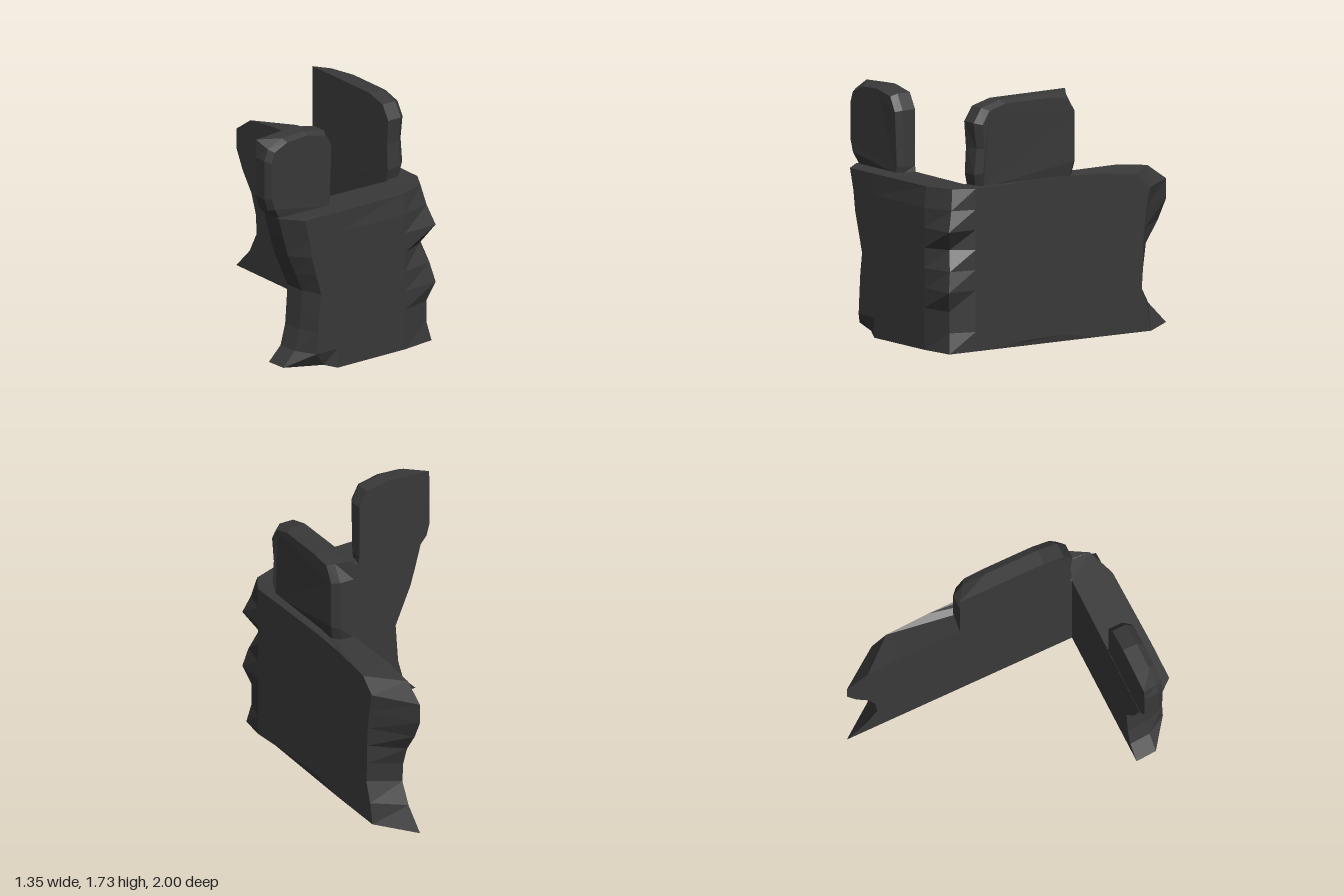
import * as THREE from 'three';

const stone = new THREE.MeshStandardMaterial({ color: 0x393939 });
stone.name = 'dark stone';
stone.flatShading = true;

// Skin matching rings of [x, y, z] points and cap both ends; flat is the
// pair of axes used to triangulate the caps.
function loft(name, rings, flat) {
  const tris = [];
  const n = rings[0].length;
  for (let r = 0; r + 1 < rings.length; r++) {
    for (let i = 0; i < n; i++) {
      const j = (i + 1) % n;
      const [a, b, c, d] = [rings[r][i], rings[r][j], rings[r + 1][j], rings[r + 1][i]];
      tris.push([a, b, c], [a, c, d]);
    }
  }
  const cap = (ring, sign) => {
    const outline = ring.map((p) => new THREE.Vector2(p[flat[0]], p[flat[1]]));
    const ccw = THREE.ShapeUtils.area(outline) > 0;
    for (const [a, b, c] of THREE.ShapeUtils.triangulateShape(outline, [])) {
      const u = outline[b].clone().sub(outline[a]);
      const v = outline[c].clone().sub(outline[a]);
      const same = (u.cross(v) > 0) === ccw;
      const t = [ring[a], ring[b], ring[c]];
      tris.push(same === (sign > 0) ? t : t.reverse());
    }
  };
  cap(rings[0], -1);
  cap(rings[rings.length - 1], 1);

  // Turn the skin inside out when its signed volume is negative.
  let volume = 0;
  for (const t of tris) {
    const [a, b, c] = t.map((p) => new THREE.Vector3(...p));
    volume += a.dot(b.cross(c));
  }
  if (volume < 0) tris.forEach((t) => t.reverse());

  const geo = new THREE.BufferGeometry();
  geo.setAttribute('position', new THREE.Float32BufferAttribute(tris.flat(2), 3));
  geo.computeVertexNormals();
  const mesh = new THREE.Mesh(geo, stone);
  mesh.name = name;
  return mesh;
}

// L-shaped wall: each course is one L outline with ragged ends and a chipped corner.
function makeWall() {
  // y, left end inner x, left end outer x, corner x, corner z, back end inner z, back end outer z
  const courses = [
    [0.00, -0.56, -0.28, 0.64, 0.97, -1.00, -0.72],
    [0.15, -0.46, -0.37, 0.61, 0.95, -0.85, -0.69],
    [0.30, -0.42, -0.36, 0.61, 0.95, -0.77, -0.64],
    [0.44, -0.41, -0.35, 0.66, 0.99, -0.78, -0.65],
    [0.58, -0.40, -0.33, 0.63, 0.96, -0.83, -0.65],
    [0.72, -0.46, -0.37, 0.57, 0.92, -0.93, -0.66],
    [0.86, -0.52, -0.41, 0.66, 0.99, -1.00, -0.68],
    [1.00, -0.56, -0.43, 0.62, 0.94, -1.00, -0.71],
    [1.15, -0.60, -0.47, 0.59, 0.91, -0.84, -0.60],
  ];
  const rings = courses.map(([y, li, lo, cx, cz, bi, bo], k) => {
    const bottom = k === 0, top = k === courses.length - 1;
    const by = (low, high) => (bottom ? low : top ? high : y);
    return [
      [0.46, by(0, 1.14), 0.71],
      [li, by(0.05, 1.15), 0.71],
      [li + 0.01, by(0.05, 1.15), 0.86],
      [lo, by(0.04, 1.15), bottom ? 0.96 : 1],
      [-0.19, by(0.01, 1.15), 1],
      [0.39, by(0.01, 1.145), top ? 0.985 : 1],
      [cx, by(0.01, 1.145), cz],
      [0.67, by(0.015, 1.145), 0.77],
      [0.67, by(0.045, 1.15), 0.3],
      [0.67, by(0.05, 1.15), 0],
      [0.67, by(0.005, 1.14), -0.28],
      [0.67, by(0, 1.1), bo],
      [0.46, by(0, 1.11), bi],
      [0.46, by(0, 1.14), -0.57],
    ];
  });
  return loft('ruinedWall', rings, [0, 2]);
}

// Merlon: a square-cornered inner face, then a rounded outline, then an inset face.
// Points are [along, y]; place maps (along, y, depth) to x, y, z.
function makeMerlon(name, inner, outer, depth, place, flat) {
  const cu = (Math.min(...outer.map((p) => p[0])) + Math.max(...outer.map((p) => p[0]))) / 2;
  const inset = outer.map(([u, y]) => [u + (cu - u) * 0.1, y < 1.2 ? y : 1.43 + (y - 1.43) * 0.93]);
  const ring = (pts, d) => pts.map(([u, y]) => place(u, y, y < 1.2 ? d * 0.88 : d));
  return loft(name, [ring(inner, 0), ring(outer, depth * 0.7), ring(inset, depth)], flat);
}

export function createModel() {
  const group = new THREE.Group();
  group.name = 'ruinedCornerWall';
  group.add(makeWall());

  // Merlon above the front arm
  group.add(makeMerlon(
    'frontMerlon',
    [[-0.59, 1.14], [-0.65, 1.21], [-0.675, 1.3], [-0.675, 1.58], [-0.67, 1.705], [-0.52, 1.715],
      [-0.34, 1.725], [-0.17, 1.69], [-0.11, 1.58], [-0.11, 1.19], [-0.10, 1.14]],
    [[-0.59, 1.14], [-0.65, 1.21], [-0.68, 1.3], [-0.68, 1.58], [-0.65, 1.66], [-0.53, 1.715],
      [-0.34, 1.725], [-0.17, 1.69], [-0.11, 1.58], [-0.11, 1.19], [-0.12, 1.14]],
    0.15, (u, y, d) => [u, y, 0.712 + d], [0, 1],
  ));

  // Merlon above the side arm
  group.add(makeMerlon(
    'sideMerlon',
    [[-0.14, 1.13], [-0.14, 1.25], [-0.14, 1.58], [-0.14, 1.72], [0.1, 1.72], [0.5, 1.72],
      [0.65, 1.68], [0.715, 1.58], [0.70, 1.4], [0.71, 1.22], [0.69, 1.13]],
    [[-0.12, 1.13], [-0.14, 1.22], [-0.14, 1.58], [-0.07, 1.7], [0.1, 1.72], [0.5, 1.72],
      [0.65, 1.68], [0.715, 1.58], [0.69, 1.4], [0.71, 1.22], [0.69, 1.13]],
    0.155, (u, y, d) => [0.462 + d, y, u], [2, 1],
  ));
  return group;
}
